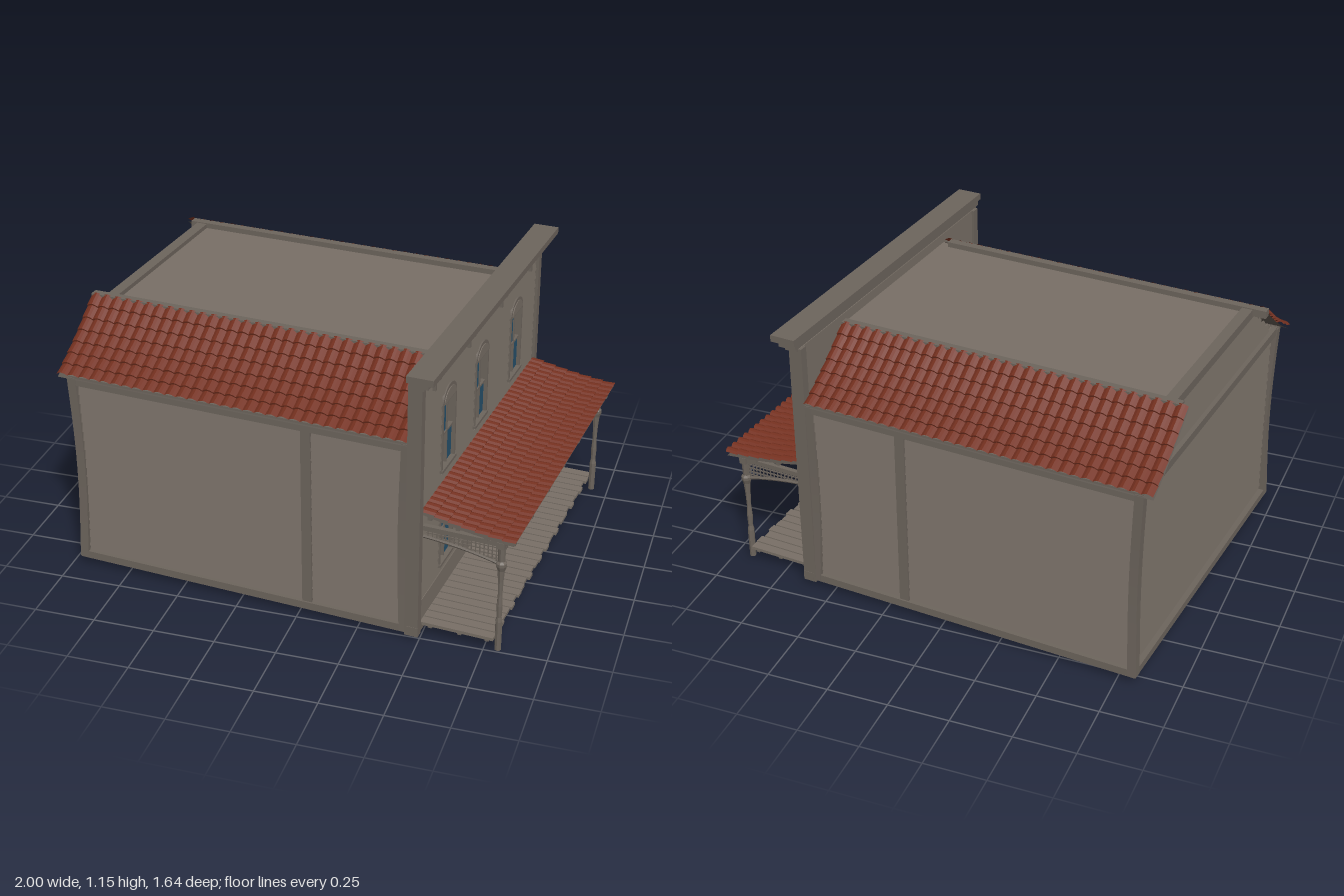
import * as THREE from 'three';
import { mergeGeometries } from 'three/addons/utils/BufferGeometryUtils.js';

const mat = (name, color, side = THREE.FrontSide) => {
  const m = new THREE.MeshStandardMaterial({ color, side, flatShading: true });
  m.name = name;
  return m;
};

export function createModel() {
  const wall = mat('weatheredBoard', 0x776e65);
  const trim = mat('weatheredTrim', 0x6c645c);
  const sheet = mat('roofUnderside', 0x5a534c, THREE.DoubleSide);
  const tile = mat('clayTile', 0x74301f, THREE.DoubleSide);
  const glass = mat('blueGlass', 0x26506a, THREE.DoubleSide);

  const house = new THREE.Group();
  house.name = 'house';

  const add = (parent, name, geo, m) => {
    const mesh = new THREE.Mesh(geo, m);
    mesh.name = name;
    parent.add(mesh);
    return mesh;
  };
  const group = (parent, name, rotY = 0) => {
    const g = new THREE.Group();
    g.name = name;
    g.rotation.y = rotY;
    parent.add(g);
    return g;
  };
  // Box given by its limits on each axis
  const box = (parent, name, m, x0, x1, y0, y1, z0, z1) => {
    const mesh = add(parent, name, new THREE.BoxGeometry(x1 - x0, y1 - y0, z1 - z0), m);
    mesh.position.set((x0 + x1) / 2, (y0 + y1) / 2, (z0 + z1) / 2);
    return mesh;
  };
  // Overlapping clapboards facing +x; spans(y0, y1) gives the z ranges of each row
  const siding = (y0, y1, rows, spans) => {
    const parts = [], h = (y1 - y0) / rows;
    for (let i = 0; i < rows; i++) {
      const a = y0 + i * h, b = a + h;
      const shape = new THREE.Shape([[0, a], [0.011, a], [0.003, b], [0, b]].map(p => new THREE.Vector2(...p)));
      for (const [s, e] of spans(a, b)) {
        parts.push(new THREE.ExtrudeGeometry(shape, { depth: e - s, bevelEnabled: false }).translate(0, 0, s));
      }
    }
    return mergeGeometries(parts);
  };
  // Sloped sheet along z, corrugated and stepped when amp and step are set
  const slope = (half, path, cols, rows, amp, step, lift) => {
    const pos = [], idx = [], n = cols * 4;
    for (let r = 0; r < rows; r++) for (let k = 0; k < 2; k++) {
      const [x, y] = path((r + k) / rows);
      for (let i = 0; i <= n; i++) {
        const up = lift + k * step + amp * Math.abs(Math.sin((i / 4) * Math.PI));
        pos.push(x + up * 0.4, y + up, -half + (2 * half * i) / n);
      }
    }
    for (let r = 0; r < rows * 2 - 1; r++) for (let i = 0; i < n; i++) {
      const a = r * (n + 1) + i, b = a + n + 1;
      idx.push(a, a + 1, b, b, a + 1, b + 1);
    }
    const g = new THREE.BufferGeometry();
    g.setAttribute('position', new THREE.Float32BufferAttribute(pos, 3));
    g.setIndex(idx);
    const flat = g.toNonIndexed();
    flat.computeVertexNormals();
    return flat;
  };
  // Concave roof line from (x0, y0) down to (x1, y1)
  const sagPath = (x0, y0, x1, y1, sag) => t =>
    [x0 + (x1 - x0) * t, y0 + (y1 - y0) * t - sag * Math.sin(Math.PI * t)];

  // Side walls with tiled slopes
  for (const s of [1, -1]) {
    const side = group(house, s > 0 ? 'frontSide' : 'backSide', -s * Math.PI / 2);
    const span = (a, b) => (s > 0 ? [-b, -a] : [a, b]);
    const full = span(-0.88, 0.53);
    add(side, 'sideSiding', siding(0.04, 0.86, 20, () => [full]), wall).position.x = 0.698;
    box(side, 'sill', trim, 0.7, 0.722, 0.03, 0.062, ...span(-0.9, 0.53));
    box(side, 'eaveBoard', trim, 0.7, 0.72, 0.822, 0.862, ...span(-0.9, 0.53));
    box(side, 'wallStrip', trim, 0.7, 0.715, 0.06, 0.83, ...span(0.085, 0.125));

    const roof = group(side, 'sideRoof');
    roof.position.z = s * 0.213;
    const path = sagPath(0.42, 1.075, 0.728, 0.858, 0.012);
    add(roof, 'sideTiles', slope(0.728, path, 31, 7, 0.01, 0.007, 0.002), tile);
    add(roof, 'sideRoofBoards', slope(0.728, path, 1, 7, 0, 0, -0.008), sheet);
    box(roof, 'roofEdge', trim, 0.395, 0.43, 1.05, 1.082, -0.7, 0.728);
  }

  // Rear wall with clipped gable
  const rear = group(house, 'rearSide', Math.PI);
  const halfAt = y => (y < 0.85 ? 0.7 : 0.7 - (y - 0.85) * 1.22);
  add(rear, 'rearSiding', siding(0.04, 1.06, 25, (a, b) => [[-halfAt(b), halfAt(b)]]), wall).position.x = 0.87;
  box(rear, 'rearSill', trim, 0.875, 0.9, 0.03, 0.062, -0.71, 0.71);
  box(rear, 'rearBeam', trim, 0.875, 0.898, 0.825, 0.86, -0.7, 0.7);
  box(rear, 'rearParapet', trim, 0.84, 0.885, 1.04, 1.078, -0.42, 0.42);

  // Bowed corner posts
  for (const s of [1, -1]) for (const x of [-0.885, 0.51]) {
    const g = new THREE.BoxGeometry(0.036, 0.82, 0.036, 1, 10, 1);
    const p = g.attributes.position;
    for (let i = 0; i < p.count; i++) {
      const bow = 0.012 * Math.cos((p.getY(i) / 0.82) * Math.PI);
      p.setX(i, p.getX(i) - Math.sign(x) * bow);
      p.setZ(i, p.getZ(i) - s * bow * 0.6);
    }
    g.computeVertexNormals();
    add(house, 'cornerPost', g, trim).position.set(x, 0.445, s * 0.705);
  }
  box(house, 'flatRoof', wall, -0.87, 0.53, 1.045, 1.06, -0.43, 0.43);

  // Street facade: backing panel and siding, both cut at the windows
  const facade = group(house, 'facade');
  const windows = [[0.393, 0.615], [0.011, 0.615], [-0.426, 0.615], [0.393, 0.19], [0.011, 0.19]];
  const W = 0.07, H = 0.285;
  const rect = (x0, y0, x1, y1) => [[x0, y0], [x1, y0], [x1, y1], [x0, y1]].map(p => new THREE.Vector2(...p));
  const panel = new THREE.Shape(rect(-0.715, 0.035, 0.715, 1.1));
  for (const [z, y] of windows) panel.holes.push(new THREE.Path(rect(-z - W, y, -z + W, y + H)));
  add(facade, 'facadeBacking', new THREE.ExtrudeGeometry(panel, { depth: 0.025, bevelEnabled: false })
    .rotateY(Math.PI / 2), wall).position.x = 0.525;
  const facadeSpans = (a, b) => {
    const out = [];
    let start = -0.7;
    const cuts = windows.filter(w => b > w[1] && a < w[1] + H).sort((p, q) => p[0] - q[0]);
    for (const [z] of cuts) {
      out.push([start, z - W]);
      start = z + W;
    }
    out.push([start, 0.7]);
    return out;
  };
  add(facade, 'facadeSiding', siding(0.15, 1.1, 24, facadeSpans), wall).position.x = 0.549;
  box(facade, 'plinthBoard', wall, 0.549, 0.562, 0.05, 0.152, -0.7, 0.7);
  box(facade, 'facadeSill', trim, 0.525, 0.57, 0.03, 0.062, -0.725, 0.725);
  for (const s of [-1, 1]) box(facade, 'facadePost', trim, 0.515, 0.57, 0.02, 1.1, s * 0.705 - 0.018, s * 0.705 + 0.018);

  // Stepped cornice and its brackets
  box(facade, 'corniceBase', trim, 0.528, 0.58, 1.09, 1.105, -0.732, 0.732);
  box(facade, 'corniceMiddle', trim, 0.525, 0.6, 1.105, 1.128, -0.745, 0.745);
  box(facade, 'corniceTop', trim, 0.52, 0.625, 1.128, 1.155, -0.76, 0.76);
  for (const z of [0.58, 0.197, -0.195, -0.577]) {
    box(facade, 'corniceBracket', trim, 0.55, 0.59, 1.07, 1.1, z - 0.009, z + 0.009);
    box(facade, 'bracketDrop', trim, 0.55, 0.572, 1.02, 1.075, z - 0.006, z + 0.006);
  }

  // Windows: arched head, frame, bars and two glazed panes
  const arch = new THREE.Shape().absellipse(0, 0, W + 0.006, 0.06, 0, Math.PI, false);
  const fan = new THREE.Shape().absellipse(0, 0, W - 0.006, 0.046, 0, Math.PI, false);
  for (const [z, y] of windows) {
    const win = group(facade, 'window');
    win.position.set(0.55, y, z);
    const extrude = (shape, depth) => new THREE.ExtrudeGeometry(shape, { depth, bevelEnabled: false, curveSegments: 12 }).rotateY(Math.PI / 2);
    add(win, 'windowArch', extrude(arch, 0.013), trim).position.y = H;
    add(win, 'archPanel', extrude(fan, 0.016), wall).position.y = H;
    for (const s of [-1, 1]) box(win, 'windowJamb', trim, -0.02, 0.013, 0, H, s * W - 0.005, s * W + 0.005);
    box(win, 'windowSill', trim, -0.02, 0.018, -0.007, 0.005, -W - 0.008, W + 0.008);
    box(win, 'windowHead', trim, -0.02, 0.015, H - 0.004, H + 0.005, -W, W);
    box(win, 'windowBar', trim, -0.014, 0.004, 0, H, -0.003, 0.003);
    box(win, 'windowRail', trim, -0.014, 0.004, H / 2 - 0.004, H / 2 + 0.004, -W, W);
    box(win, 'upperPane', glass, -0.006, -0.002, H / 2, H, 0.002, W);
    box(win, 'lowerPane', glass, -0.006, -0.002, 0, H / 2, -W, -0.002);
  }

  // Door with raised panels
  const door = group(facade, 'door');
  door.position.set(0.56, 0.06, -0.426);
  box(door, 'doorLeaf', wall, -0.01, 0.006, 0, 0.365, -0.075, 0.075);
  for (const s of [-1, 1]) box(door, 'doorJamb', trim, -0.01, 0.012, 0, 0.37, s * 0.081 - 0.006, s * 0.081 + 0.006);
  box(door, 'doorHead', trim, -0.01, 0.012, 0.362, 0.374, -0.087, 0.087);
  box(door, 'lowerPanel', trim, 0, 0.01, 0.03, 0.16, -0.052, 0.052);
  box(door, 'upperPanel', trim, 0, 0.01, 0.19, 0.335, -0.052, 0.052);
  add(door, 'doorKnob', new THREE.SphereGeometry(0.007, 8, 6), trim).position.set(0.012, 0.175, 0.063);

  // Porch roof
  const porch = group(house, 'porch');
  const porchPath = sagPath(0.56, 0.562, 0.93, 0.505, 0.008);
  add(porch, 'porchTiles', slope(0.69, porchPath, 34, 7, 0.01, 0.006, 0.002), tile);
  add(porch, 'porchRoofBoards', slope(0.69, porchPath, 1, 7, 0, 0, -0.008), sheet);
  for (const x of [0.59, 0.7, 0.81]) {
    const y = 0.54 - (x - 0.56) * 0.17;
    box(porch, 'purlin', trim, x - 0.008, x + 0.008, y - 0.015, y, -0.67, 0.67);
  }
  for (let i = 0; i < 7; i++) {
    const z = -0.63 + i * 0.21;
    box(porch, 'rafter', trim, -0.18, 0.18, -0.007, 0.007, z - 0.007, z + 0.007).rotation.z = -0.16;
    porch.children.at(-1).position.set(0.74, 0.502, z);
  }
  box(porch, 'porchBeam', trim, 0.855, 0.885, 0.46, 0.487, -0.67, 0.67);

  // Turned posts and side lattice
  const profile = [[0.001, 0], [0.013, 0], [0.014, 0.13], [0.01, 0.15], [0.012, 0.2], [0.009, 0.25], [0.011, 0.31],
    [0.015, 0.36], [0.022, 0.38], [0.022, 0.392], [0.014, 0.4], [0.016, 0.465], [0.001, 0.465]].map(p => new THREE.Vector2(...p));
  for (const s of [-1, 1]) {
    const z = s * 0.65;
    add(porch, 'porchPost', new THREE.LatheGeometry(profile, 8), trim).position.set(0.87, 0, z);
    const rail = new THREE.QuadraticBezierCurve3(new THREE.Vector3(0.56, 0.435, z),
      new THREE.Vector3(0.72, 0.425, z), new THREE.Vector3(0.865, 0.385, z));
    add(porch, 'latticeRail', new THREE.TubeGeometry(rail, 10, 0.007, 6), trim);
    box(porch, 'latticeHead', trim, 0.56, 0.87, 0.465, 0.485, z - 0.01, z + 0.01);
    for (let i = 1; i < 18; i++) {
      const p = rail.getPoint(i / 18);
      box(porch, 'latticeSlat', trim, p.x - 0.002, p.x + 0.002, p.y, 0.47, z - 0.002, z + 0.002);
    }
    for (let k = 0; k < 4; k++) {
      const y = 0.405 + k * 0.016;
      box(porch, 'latticeBar', trim, [0.8, 0.72, 0.57, 0.57][k], 0.865, y - 0.002, y + 0.002, z - 0.002, z + 0.002);
    }
    box(porch, 'postBracket', trim, 0.862, 0.878, 0.435, 0.465, Math.min(z, z - s * 0.05), Math.max(z, z - s * 0.05));
  }

  // Plank deck on short legs
  const planks = 30, pw = 1.36 / planks;
  for (let i = 0; i < planks; i++) {
    const z = -0.68 + i * pw;
    box(porch, 'deckPlank', wall, 0.56, 0.855 + 0.006 * Math.sin(i * 2.4), 0.05, 0.063, z + 0.003, z + pw - 0.003);
  }
  for (const x of [0.6, 0.72, 0.83]) {
    box(porch, 'deckJoist', trim, x - 0.008, x + 0.008, 0.038, 0.05, -0.67, 0.67);
    for (const z of [-0.6, -0.25, 0.01, 0.3, 0.6]) box(porch, 'deckLeg', trim, x - 0.006, x + 0.006, 0.018, 0.04, z - 0.006, z + 0.006);
  }

  house.rotation.y = -0.096;
  const model = new THREE.Group();
  model.name = 'frontierHouse';
  model.add(house);
  return model;
}
